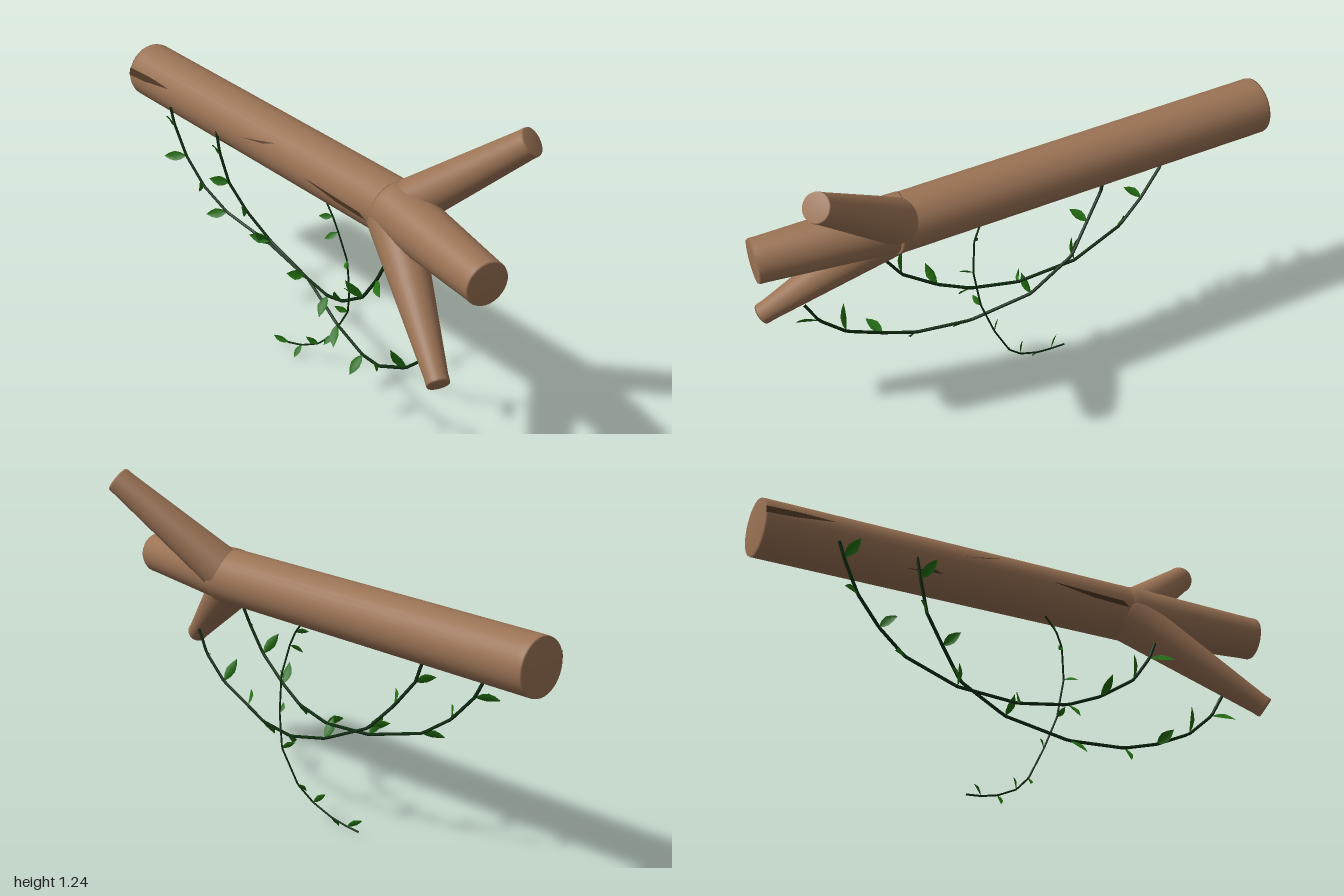
import * as THREE from 'three';

const bark = new THREE.MeshStandardMaterial({ color: 0x9b7355 });
bark.name = 'bark brown';
const crack = new THREE.MeshStandardMaterial({ color: 0x4c3622, side: THREE.DoubleSide });
crack.name = 'crack dark brown';
const vineGreen = new THREE.MeshStandardMaterial({ color: 0x0d2b0f });
vineGreen.name = 'vine dark green';
const leafGreen = new THREE.MeshStandardMaterial({ color: 0x23700f, side: THREE.DoubleSide });
leafGreen.name = 'leaf green';

const V = (a) => new THREE.Vector3(...a);

// Tapered limb between two points, with softly shaded end caps
function limb(name, from, to, r0, r1) {
  const a = V(from), dir = V(to).sub(a), len = dir.length();
  const profile = [[0, 0], [r0 * 0.98, 0], [r0, 0.008], [r0, 0.03], [r1, len - 0.03],
    [r1, len - 0.008], [r1 * 0.96, len], [0, len]].map(([x, y]) => new THREE.Vector2(x, y));
  const mesh = new THREE.Mesh(new THREE.LatheGeometry(profile, 32), bark);
  mesh.position.copy(a);
  mesh.quaternion.setFromUnitVectors(new THREE.Vector3(0, 1, 0), dir.normalize());
  mesh.name = name;
  return mesh;
}

// Thin sliver following the front of the trunk
function barkCrack(points) {
  const pos = points.flatMap(([x, y]) => {
    const zc = -0.018 + (x + 1) * 0.012;
    return [x, y, zc + Math.sqrt(0.105 ** 2 - (y - 0.864) ** 2) + 0.002];
  });
  const index = [];
  for (let i = 1; i < points.length - 1; i++) index.push(0, i + 1, i);
  const g = new THREE.BufferGeometry();
  g.setAttribute('position', new THREE.Float32BufferAttribute(pos, 3));
  g.setIndex(index);
  g.computeVertexNormals();
  const mesh = new THREE.Mesh(g, crack);
  mesh.name = 'barkCrack';
  return mesh;
}

// Pointed leaf folded along its midrib, from base to tip
function leaf(base, tip, width) {
  const dir = tip.clone().sub(base);
  const side = new THREE.Vector3().crossVectors(dir, new THREE.Vector3(0.3, 0.4, 1)).setLength(width / 2);
  const lift = new THREE.Vector3().crossVectors(side, dir).setLength(width * 0.2);
  const at = (t, s) => base.clone().addScaledVector(dir, t).addScaledVector(side, s)
    .addScaledVector(lift, Math.abs(s));
  const rows = [[0, 0.05], [0.25, 0.75], [0.5, 1], [0.75, 0.65], [1, 0]];
  const pts = rows.flatMap(([t, w]) => [at(t, -w), at(t, 0), at(t, w)]);
  const index = [];
  for (let r = 0; r < rows.length - 1; r++) {
    for (let c = 0; c < 2; c++) {
      const i = r * 3 + c;
      index.push(i, i + 1, i + 3, i + 1, i + 4, i + 3);
    }
  }
  const g = new THREE.BufferGeometry().setFromPoints(pts);
  g.setIndex(index);
  g.computeVertexNormals();
  const mesh = new THREE.Mesh(g, leafGreen);
  mesh.name = 'leaf';
  return mesh;
}

// Vine through points; each leaf is [point index, tip dx, tip dy]
function vine(name, points, radius, leaves, reach, width) {
  const group = new THREE.Group();
  group.name = name;
  const pts = points.map(V);
  const path = new THREE.CurvePath();
  for (let i = 1; i < pts.length; i++) path.add(new THREE.LineCurve3(pts[i - 1], pts[i]));
  const stem = new THREE.Mesh(new THREE.TubeGeometry(path, 72, radius, 6), vineGreen);
  stem.name = 'vineStem';
  group.add(stem);
  for (const [i, dx, dy] of leaves) {
    group.add(leaf(pts[i], pts[i].clone().add(new THREE.Vector3(dx, dy, reach)), width));
  }
  return group;
}

export function createModel() {
  const model = new THREE.Group();
  model.name = 'branchWithVines';

  // Trunk and its three forks
  model.add(
    limb('trunk', [-1, 0.865, -0.018], [0.52, 0.862, 0], 0.105, 0.103),
    limb('middleFork', [0.46, 0.864, 0], [0.993, 0.84, 0.08], 0.103, 0.08),
    limb('upperFork', [0.46, 0.855, -0.005], [0.87, 1.203, -0.213], 0.085, 0.052),
    limb('lowerFork', [0.46, 0.85, 0.01], [0.932, 0.488, 0.218], 0.092, 0.04),
  );

  // Dark slivers in the bark
  const cracks = [
    [[-1, 0.9], [-0.87, 0.905], [-0.74, 0.9], [-0.9, 0.878], [-1, 0.872]],
    [[-0.27, 0.88], [-0.08, 0.922], [-0.15, 0.9]],
    [[0.1, 0.866], [0.4, 0.856], [0.43, 0.837], [0.28, 0.842]],
    [[-0.47, 0.795], [-0.36, 0.81], [-0.33, 0.803]],
  ];
  cracks.forEach((c) => model.add(barkCrack(c)));

  // Two thick hanging vines
  model.add(vine('leftVine', [
    [-0.73, 0.83, 0.085], [-0.71, 0.77, 0.085], [-0.65, 0.65, 0.075], [-0.56, 0.55, 0.06],
    [-0.45, 0.475, 0.035], [-0.23, 0.42, 0], [0, 0.395, 0.02], [0.18, 0.41, 0.06],
    [0.3, 0.455, 0.09], [0.43, 0.54, 0.11], [0.5, 0.64, 0.11], [0.54, 0.73, 0.1],
  ], 0.006, [
    [1, 0.04, 0.06], [2, -0.07, -0.01], [3, 0.045, 0.03], [4, -0.06, -0.015], [5, -0.02, 0.065],
    [6, -0.035, 0.015], [7, 0.02, -0.06], [8, 0.02, 0.07], [9, -0.03, 0.075], [10, 0.08, -0.01],
  ], 0.055, 0.038));

  model.add(vine('rightVine', [
    [-0.435, 0.84, 0.085], [-0.42, 0.76, 0.085], [-0.385, 0.64, 0.07], [-0.31, 0.54, 0.045],
    [-0.22, 0.44, 0.005], [-0.03, 0.355, -0.02], [0.2, 0.287, 0.03], [0.4, 0.278, 0.08],
    [0.52, 0.305, 0.11], [0.66, 0.37, 0.112], [0.76, 0.46, 0.115], [0.81, 0.55, 0.12],
  ], 0.006, [
    [1, 0.04, 0.06], [2, -0.05, 0.015], [3, 0.045, 0.04], [4, -0.06, 0.02], [5, 0.01, 0.065],
    [6, 0.045, -0.055], [7, -0.005, -0.065], [8, 0.04, 0.045], [9, -0.02, 0.085], [10, 0.07, -0.02],
  ], 0.055, 0.038));

  // Thin trailing vine
  model.add(vine('trailingVine', [
    [0.11, 0.77, 0.02], [0.16, 0.71, 0.02], [0.185, 0.655, 0.015], [0.205, 0.54, -0.01],
    [0.19, 0.4, -0.035], [0.15, 0.28, -0.063], [0.08, 0.15, -0.05], [0.02, 0.09, -0.03],
    [-0.06, 0.05, -0.015], [-0.13, 0.032, -0.005], [-0.19, 0.027, -0.003],
  ], 0.0035, [
    [1, -0.035, 0], [2, -0.035, -0.03], [3, 0.04, -0.005], [4, 0.015, 0.03], [5, -0.035, 0.02],
    [6, -0.01, -0.035], [7, -0.03, 0.03], [8, -0.005, -0.045], [9, -0.045, 0.025],
  ], 0.035, 0.024));

  return model;
}
